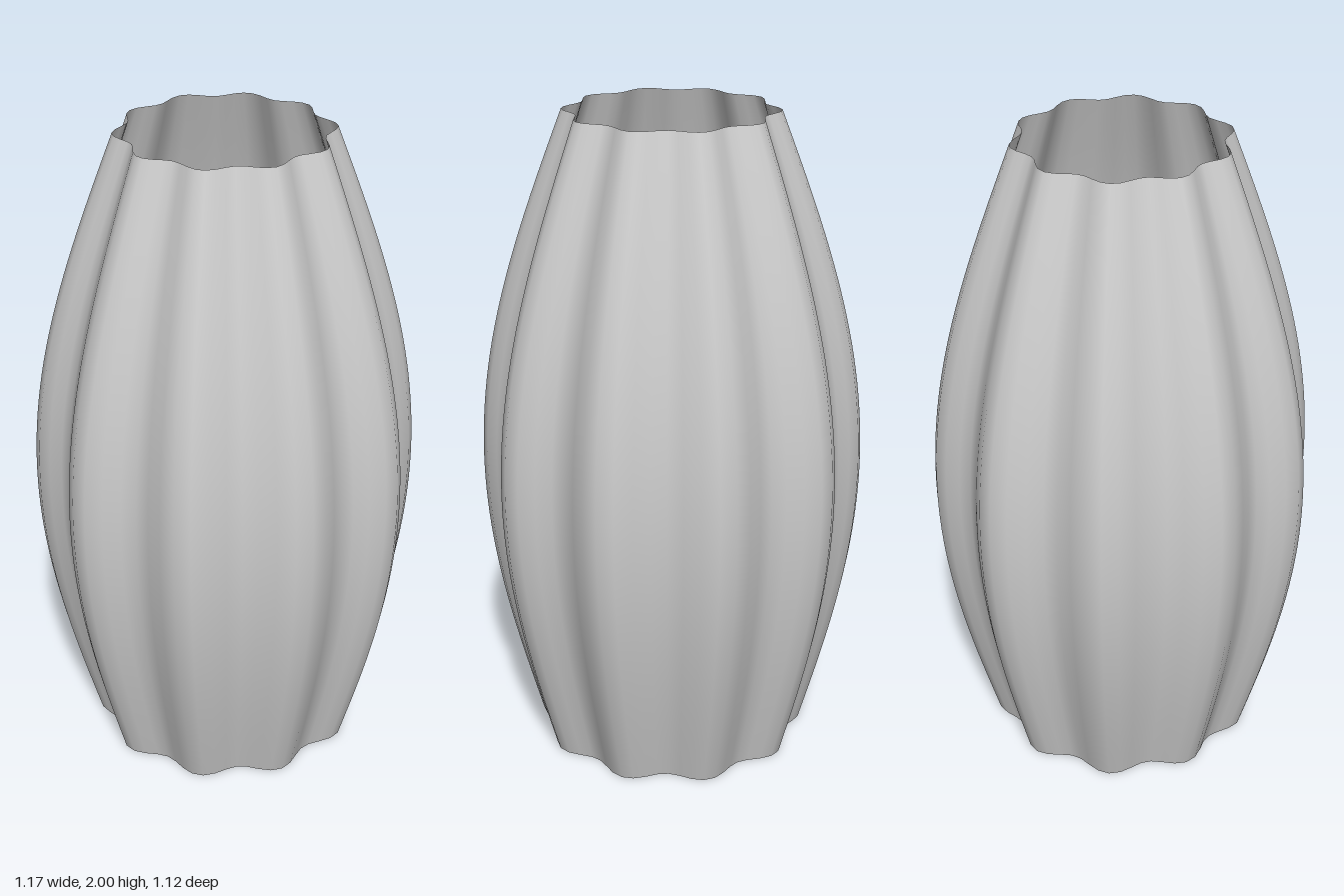
import * as THREE from 'three';

const SIDES = 72, ROWS = 48, LOBES = 10, HEIGHT = 2;

// Radius of the fluted wall: a tapering, bulging profile with ten soft lobes
function radiusAt(angle, t) {
  const profile = THREE.MathUtils.lerp(0.4, 0.3, t) + 0.2 * Math.sin(Math.PI * t);
  return profile * (1 + 0.06 * Math.cos(LOBES * angle));
}

function createWall() {
  const geometry = new THREE.CylinderGeometry(1, 1, HEIGHT, SIDES, ROWS, true);
  const position = geometry.attributes.position;
  const normal = geometry.attributes.normal;
  const point = (a, t) => {
    const r = radiusAt(a, t);
    return new THREE.Vector3(r * Math.cos(a), t * HEIGHT, r * Math.sin(a));
  };
  const e = 0.001;
  for (let i = 0; i < position.count; i++) {
    const a = Math.atan2(position.getZ(i), position.getX(i));
    const t = position.getY(i) / HEIGHT + 0.5;
    const p = point(a, t);
    position.setXYZ(i, p.x, p.y, p.z);
    // Seamless smooth normal from the two surface directions
    const around = point(a + e, t).sub(point(a - e, t));
    const up = point(a, t + e).sub(point(a, t - e));
    const n = up.cross(around).normalize();
    normal.setXYZ(i, n.x, n.y, n.z);
  }
  return geometry;
}

// Flat floor following the lobed outline of the foot
function createFloor() {
  const geometry = new THREE.CircleGeometry(1, SIDES);
  geometry.rotateX(-Math.PI / 2);
  const position = geometry.attributes.position;
  for (let i = 1; i < position.count; i++) {
    const a = Math.atan2(position.getZ(i), position.getX(i));
    const r = radiusAt(a, 0);
    position.setXYZ(i, r * Math.cos(a), 0, r * Math.sin(a));
  }
  return geometry;
}

export function createModel() {
  const group = new THREE.Group();
  group.name = 'flutedVase';
  const clay = new THREE.MeshStandardMaterial({ color: 0xcccccc, side: THREE.DoubleSide });
  clay.name = 'pale grey';

  const wall = new THREE.Mesh(createWall(), clay);
  wall.name = 'flutedWall';
  const floor = new THREE.Mesh(createFloor(), clay);
  floor.name = 'floor';
  group.add(wall, floor);
  return group;
}
